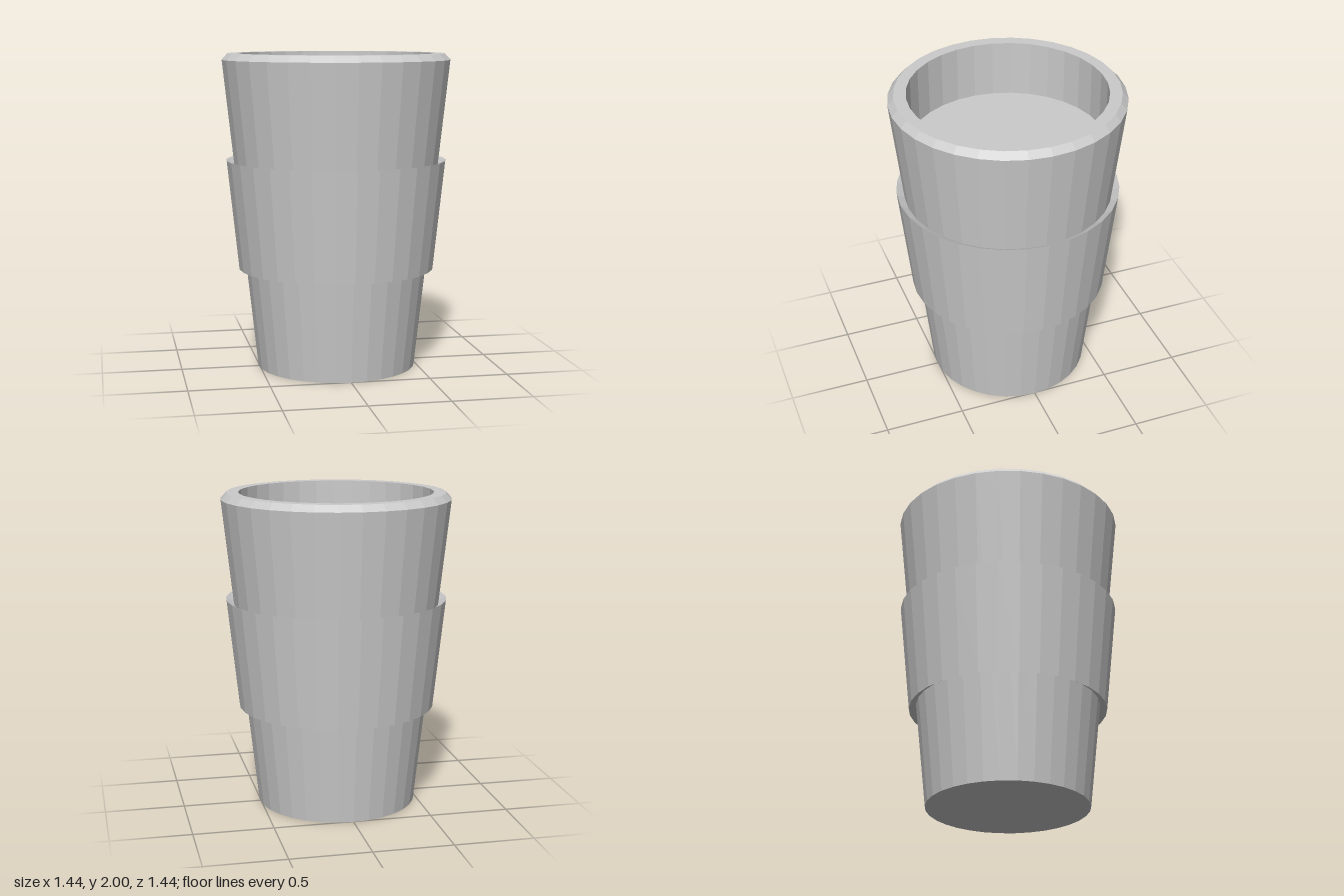
import * as THREE from 'three';

const SIDES = 32;

// Spins a list of [radius, height] pairs into a faceted solid
function turned(name, profile) {
  const points = profile.map(([r, y]) => new THREE.Vector2(r, y));
  const material = new THREE.MeshStandardMaterial({ color: 0xcccccc, flatShading: true });
  const mesh = new THREE.Mesh(new THREE.LatheGeometry(points, SIDES), material);
  mesh.name = name;
  return mesh;
}

export function createModel() {
  const group = new THREE.Group();
  group.name = 'cup';

  // Tapered body with bevelled rim and a straight-walled recess
  group.add(turned('cupBody', [
    [0, 0], [0.507, 0], [0.722, 1.96], [0.685, 2], [0.61, 2], [0.61, 1.64],
  ]));

  // Flat surface inside the cup
  const fill = turned('innerSurface', [[0.61, 1.64], [0, 1.64]]);
  group.add(fill);

  // Sleeve around the middle, its end faces sloping in to the body
  group.add(turned('sleeve', [
    [0.578, 0.665], [0.624, 0.635], [0.698, 1.33], [0.649, 1.3],
  ]));

  return group;
}
